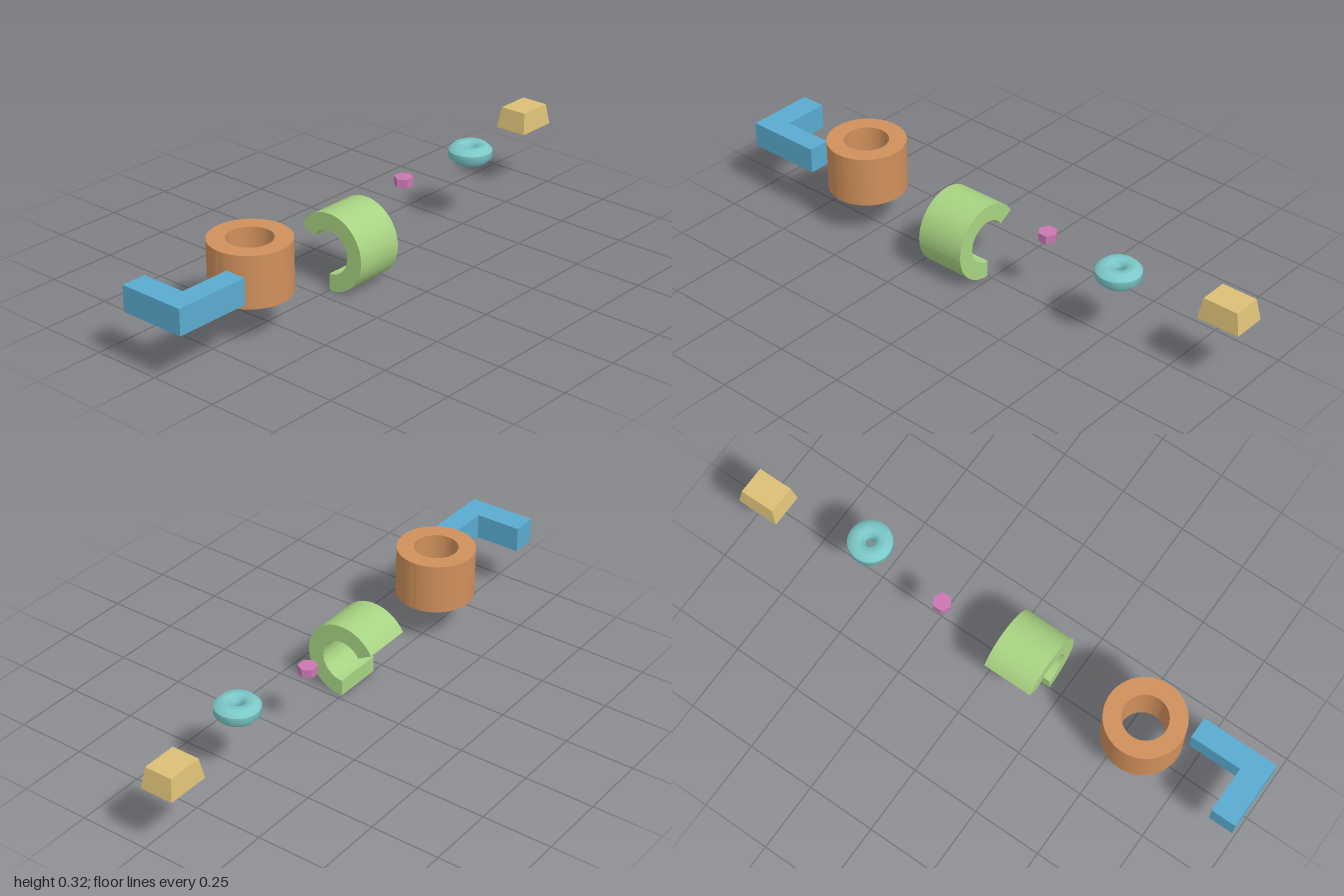
import * as THREE from 'three';
import { toCreasedNormals } from 'three/addons/utils/BufferGeometryUtils.js';

const OUTER = 0.139, INNER = 0.078;

// Straight extrusion with smooth curved walls and crisp edges
function extrude(shape, depth) {
  const geo = new THREE.ExtrudeGeometry(shape, { depth, bevelEnabled: false, curveSegments: 48 });
  return toCreasedNormals(geo, 0.5);
}

export function createModel() {
  const group = new THREE.Group();
  const add = (name, geo, color, x, y, z) => {
    const mesh = new THREE.Mesh(geo, new THREE.MeshStandardMaterial({ color }));
    mesh.name = name;
    mesh.position.set(x, y, z);
    group.add(mesh);
  };

  // L-shaped bar lying flat (shape y is -z)
  const ell = new THREE.Shape([
    [-1, -0.123], [-0.722, -0.123], [-0.722, -0.045], [-0.91, -0.045], [-0.91, 0.123], [-1, 0.123],
  ].map(([x, y]) => new THREE.Vector2(x, y)));
  add('angleBar', extrude(ell, 0.092).rotateX(-Math.PI / 2), 0x5aabcf, 0, 0.185, 0);

  // Upright thick-walled tube
  const ring = new THREE.Shape().absarc(0, 0, OUTER, 0, Math.PI * 2);
  ring.holes.push(new THREE.Path().absarc(0, 0, INNER, 0, Math.PI * 2, true));
  add('tube', extrude(ring, 0.184).rotateX(-Math.PI / 2), 0xd0905c, -0.571, 0.14, 0);

  // Partial tube along x: 240 degree sweep, open at the lower back
  const start = Math.PI / 6, end = Math.PI * 1.5;
  const arc = new THREE.Shape();
  arc.absarc(0, 0, OUTER, start, end, false);
  arc.absarc(0, 0, INNER, end, start, true);
  arc.closePath();
  add('openTube', extrude(arc, 0.184).rotateY(Math.PI / 2), 0xa8d382, -0.202, OUTER, 0);

  // Small hexagonal prism with points along x
  const hex = new THREE.CylinderGeometry(0.034, 0.034, 0.031, 6).rotateY(Math.PI / 6);
  add('hexPrism', toCreasedNormals(hex, 0.5), 0xc878b0, 0.214, 0.25, -0.034);

  // Fat ring with an eight-sided, smoothly shaded section
  const section = [];
  for (let i = 0; i <= 8; i++) {
    const a = (i + 0.5) * Math.PI / 4;
    section.push(new THREE.Vector2(0.0465 + 0.0336 * Math.cos(a), 0.0336 * Math.sin(a)));
  }
  add('donut', new THREE.LatheGeometry(section, 40), 0x7cc8c8, 0.535, 0.263, 0);

  // Tapered block: a box with its top corners drawn in
  const block = new THREE.BoxGeometry(0.156, 0.076, 0.122);
  const p = block.attributes.position;
  for (let i = 0; i < p.count; i++) {
    if (p.getY(i) > 0) {
      p.setX(i, Math.sign(p.getX(i)) * 0.064);
      p.setZ(i, Math.sign(p.getZ(i)) * 0.051);
    }
  }
  block.computeVertexNormals();
  add('taperedBlock', block, 0xdcbf76, 0.922, 0.27, -0.061);

  return group;
}
